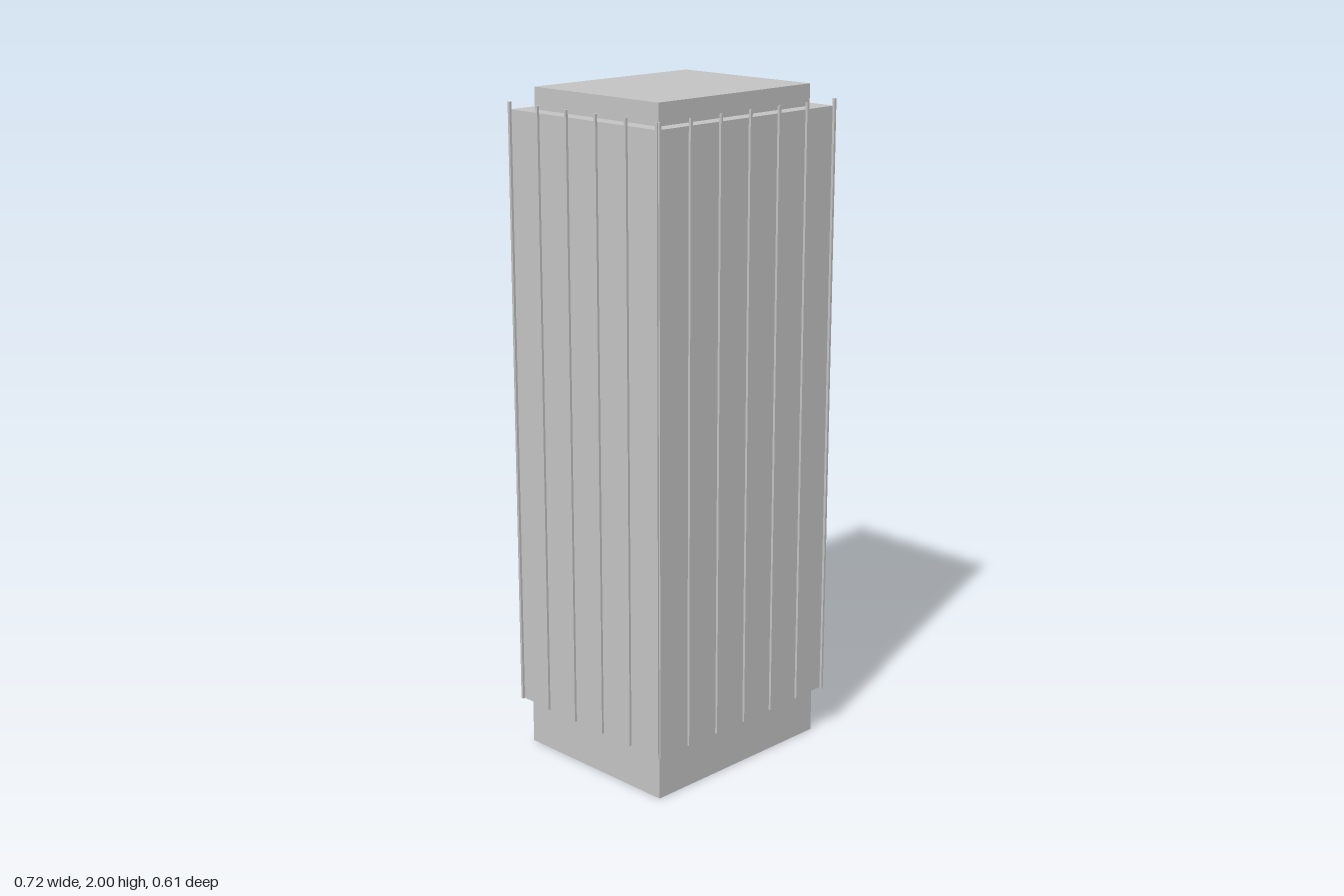
import * as THREE from 'three';

export function createModel() {
  const model = new THREE.Group();
  const concrete = new THREE.MeshStandardMaterial({ color: 0xc4c4c4 });
  const shell = new THREE.MeshStandardMaterial({ color: 0xc4c4c4, side: THREE.DoubleSide });
  concrete.name = 'concrete grey';
  shell.name = 'concrete grey shell';

  const floor = 0.143, roof = 1.937, finTop = 1.958;
  const halfX = 0.351, halfZ = 0.295, fin = 0.0075;

  function box(name, w, y0, y1, d, x = 0, z = 0, parent = model) {
    const mesh = new THREE.Mesh(new THREE.BoxGeometry(w, y1 - y0, d), concrete);
    mesh.position.set(x, (y0 + y1) / 2, z);
    mesh.name = name;
    parent.add(mesh);
  }

  // Main shaft and rooftop block
  box('tower', halfX * 2, floor, roof, halfZ * 2);
  box('penthouse', 0.604, roof, 2, 0.494);

  // Recessed base: four thin walls, open underneath
  const base = new THREE.Group();
  base.name = 'base';
  const baseX = 0.331, baseZ = 0.275;
  for (let i = 0; i < 4; i++) {
    const alongX = i % 2 === 0;
    const wall = new THREE.Mesh(
      new THREE.PlaneGeometry(2 * (alongX ? baseX : baseZ), floor), shell);
    const angle = i * Math.PI / 2;
    wall.rotation.y = angle;
    wall.position.set(Math.sin(angle) * baseX, floor / 2, Math.cos(angle) * baseZ);
    wall.name = 'baseWall';
    base.add(wall);
  }
  model.add(base);

  // Slim vertical fins that rise just above the roof edge
  const fins = new THREE.Group();
  fins.name = 'fins';
  for (const side of [-1, 1]) {
    for (let i = 0; i < 7; i++) {
      const x = (i / 6 * 2 - 1) * (halfX - 0.001);
      box('longSideFin', fin, floor, finTop, fin, x, side * (halfZ + fin / 2), fins);
    }
    for (let i = 0; i < 6; i++) {
      const z = (i / 5 * 2 - 1) * (halfZ - 0.001);
      box('shortSideFin', fin, floor, finTop, fin, side * (halfX + fin / 2), z, fins);
    }
  }
  model.add(fins);

  return model;
}
